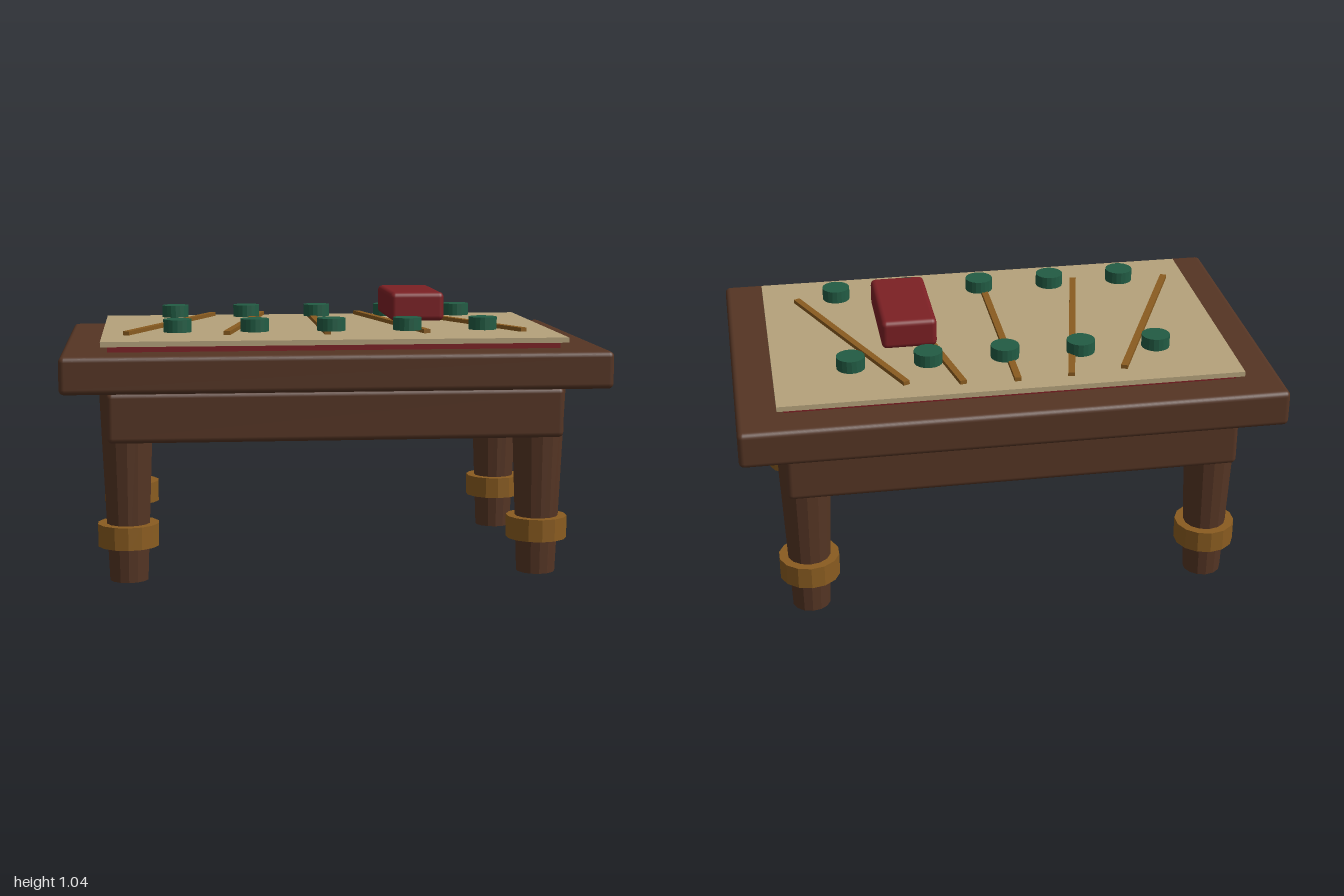
import * as THREE from 'three';
import { RoundedBoxGeometry } from 'three/addons/geometries/RoundedBoxGeometry.js';

const mat = (name, color, flatShading = false) => {
  const m = new THREE.MeshStandardMaterial({ color, flatShading });
  m.name = name;
  return m;
};

export function createModel() {
  const wood = mat('dark wood', 0x553524);
  const legWood = mat('leg wood', 0x553524, true);
  const brass = mat('brass', 0x8a5c20, true);
  const cream = mat('parchment', 0xb5a27b);
  const red = mat('deep red', 0x7c2024);
  const green = mat('green', 0x225c44, true);

  const table = new THREE.Group();
  table.name = 'table';

  const add = (name, geometry, material, x, y, z) => {
    const mesh = new THREE.Mesh(geometry, material);
    mesh.name = name;
    mesh.position.set(x, y, z);
    table.add(mesh);
    return mesh;
  };

  // Table top with its red underlay and parchment sheet
  add('tableTop', new RoundedBoxGeometry(2, 0.137, 1.28, 3, 0.02), wood, 0, 0.7835, 0);
  add('underlay', new THREE.BoxGeometry(1.66, 0.025, 0.996), red, 0, 0.8625, 0);
  add('sheet', new THREE.BoxGeometry(1.71, 0.019, 1.06), cream, 0, 0.884, 0);

  // Front and back aprons
  const apron = new RoundedBoxGeometry(1.67, 0.185, 0.085, 3, 0.02);
  for (const s of [1, -1]) add(s > 0 ? 'frontApron' : 'backApron', apron, wood, 0, 0.62, s * 0.525);

  // Tapered legs with brass collars
  const leg = new THREE.CylinderGeometry(0.102, 0.072, 0.73, 14);
  const collar = new THREE.CylinderGeometry(0.114, 0.114, 0.084, 14);
  for (const x of [-0.765, 0.765]) {
    for (const z of [-0.43, 0.43]) {
      const side = (z > 0 ? 'front' : 'back') + (x > 0 ? 'Left' : 'Right');
      add(side + 'Leg', leg, legWood, x, 0.365, z);
      add(side + 'Collar', collar, brass, x, 0.172, z);
    }
  }

  // Fan of thin rods and two rows of round tokens
  const rod = new THREE.BoxGeometry(0.025, 0.015, 0.85);
  const token = new THREE.CylinderGeometry(0.053, 0.053, 0.047, 18);
  for (let i = 0; i < 5; i++) {
    const r = add('rod' + (i + 1), rod, brass, -0.593 + i * 0.2865, 0.905, -0.052);
    r.rotation.y = (i - 2) * 0.208;
    for (const z of [-0.29, 0.33]) {
      add((z > 0 ? 'front' : 'back') + 'Token' + (i + 1), token, green, -0.575 + i * 0.286, 0.932, z);
    }
  }

  // Red block
  add('redBlock', new RoundedBoxGeometry(0.206, 0.11, 0.415, 3, 0.02), red, 0.34, 0.983, 0);

  return table;
}
